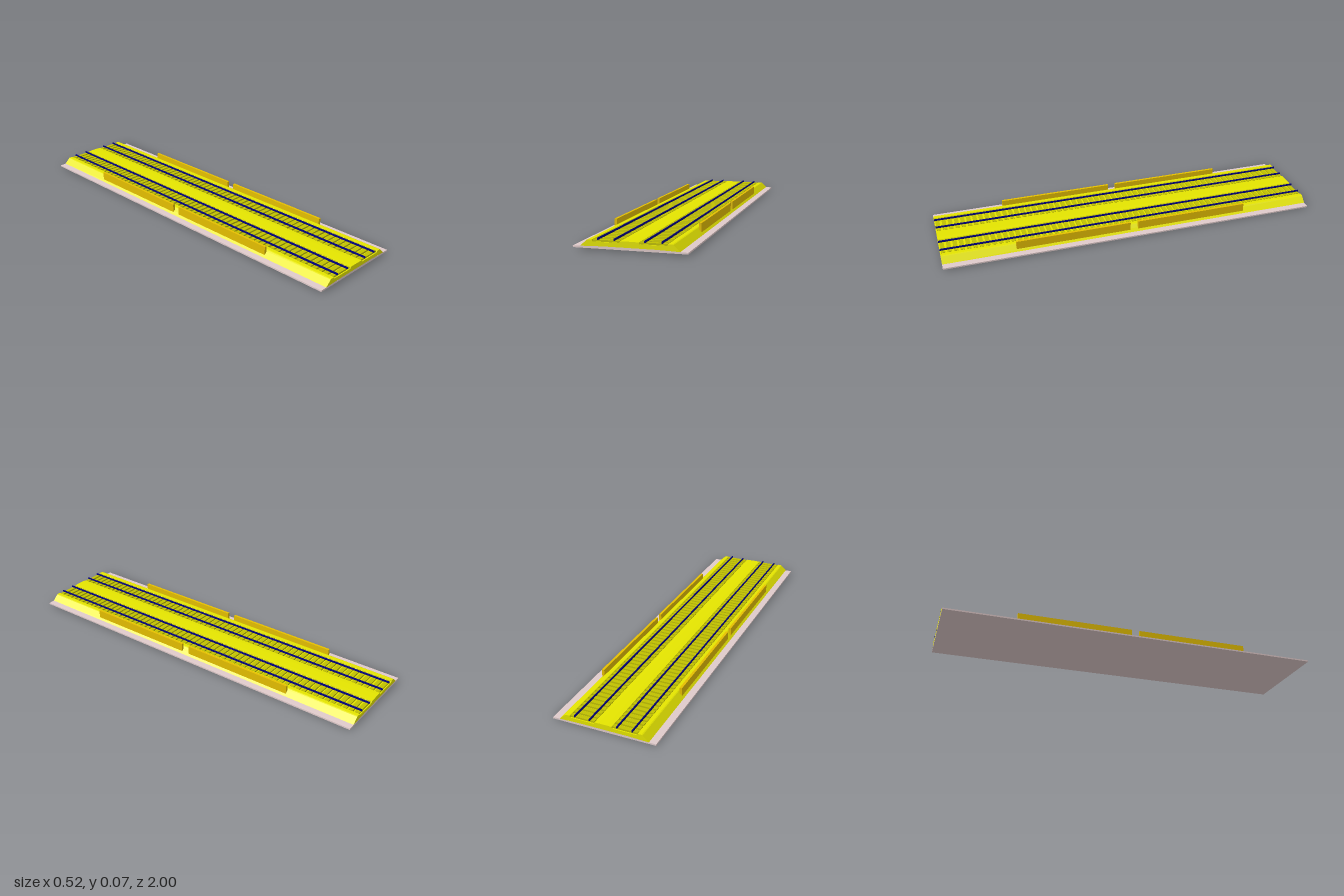
import * as THREE from 'three';

const mat = (name, color) => {
  const m = new THREE.MeshStandardMaterial({ color });
  m.name = name;
  return m;
};

export function createModel() {
  const group = new THREE.Group();
  // The whole section climbs slightly towards the front
  const bed = new THREE.Group();
  bed.name = 'slopedTrackBed';
  bed.rotation.x = -0.00375;
  bed.position.y = 0.00375;
  group.add(bed);

  const gravel = mat('yellow ballast', 0xe4e400);
  const sleeperMat = mat('olive sleeper', 0xc0c000);
  const railMat = mat('navy rail', 0x000080);
  const wallMat = mat('golden wall', 0xe4be00);
  const slabMat = mat('pale pink slab', 0xdfcaca);

  const add = (parent, name, geometry, material, x = 0, y = 0, z = 0) => {
    const mesh = new THREE.Mesh(geometry, material);
    mesh.name = name;
    mesh.position.set(x, y, z);
    parent.add(mesh);
  };
  // Symmetric cross-section from its right half, run along the full length
  const extrude = (half) => {
    const left = half.slice().reverse().map(([x, y]) => [-x, y]);
    const shape = new THREE.Shape([...half, ...left].map(([x, y]) => new THREE.Vector2(x, y)));
    return new THREE.ExtrudeGeometry(shape, { depth: 2, bevelEnabled: false }).translate(0, 0, -1);
  };

  // Thin ground slab, slightly crowned under the ballast
  add(bed, 'groundSlab', extrude([[0.26, 0], [0.26, 0.0075], [0.22, 0.0085], [0.12, 0.0115]]), slabMat);

  // Ballast bed with a shallow trough under each track and a mound between
  add(bed, 'ballast', extrude([
    [0.12, 0.0115], [0.225, 0.0085], [0.195, 0.0365], [0.19, 0.0385], [0.171, 0.0385],
    [0.168, 0.030], [0.046, 0.030], [0.043, 0.038], [0.02, 0.039],
  ]), gravel);

  // Sleepers and rails of both tracks
  const count = 62, pitch = 2 / count;
  const sleeperGeo = new THREE.BoxGeometry(0.122, 0.011, pitch * 0.65);
  const railGeo = new THREE.BoxGeometry(0.005, 0.009, 2);
  for (const side of [-1, 1]) {
    const track = new THREE.Group();
    track.name = side < 0 ? 'rightTrack' : 'leftTrack';
    bed.add(track);
    const x = side * 0.107;
    for (let i = 0; i < count; i++) {
      add(track, 'sleeper', sleeperGeo, sleeperMat, x, 0.033, -1 + (i + 0.5) * pitch);
    }
    for (const offset of [-0.0375, 0.0375]) {
      add(track, 'rail', railGeo, railMat, x + offset, 0.0425, 0);
    }
  }

  // Two low barrier walls along each side
  const wallGeo = new THREE.BoxGeometry(0.013, 0.045, 0.605);
  for (const sx of [-1, 1]) {
    for (const sz of [-1, 1]) {
      add(bed, 'barrierWall', wallGeo, wallMat, sx * 0.2085, 0.0385, sz * 0.3235);
    }
  }
  return group;
}
